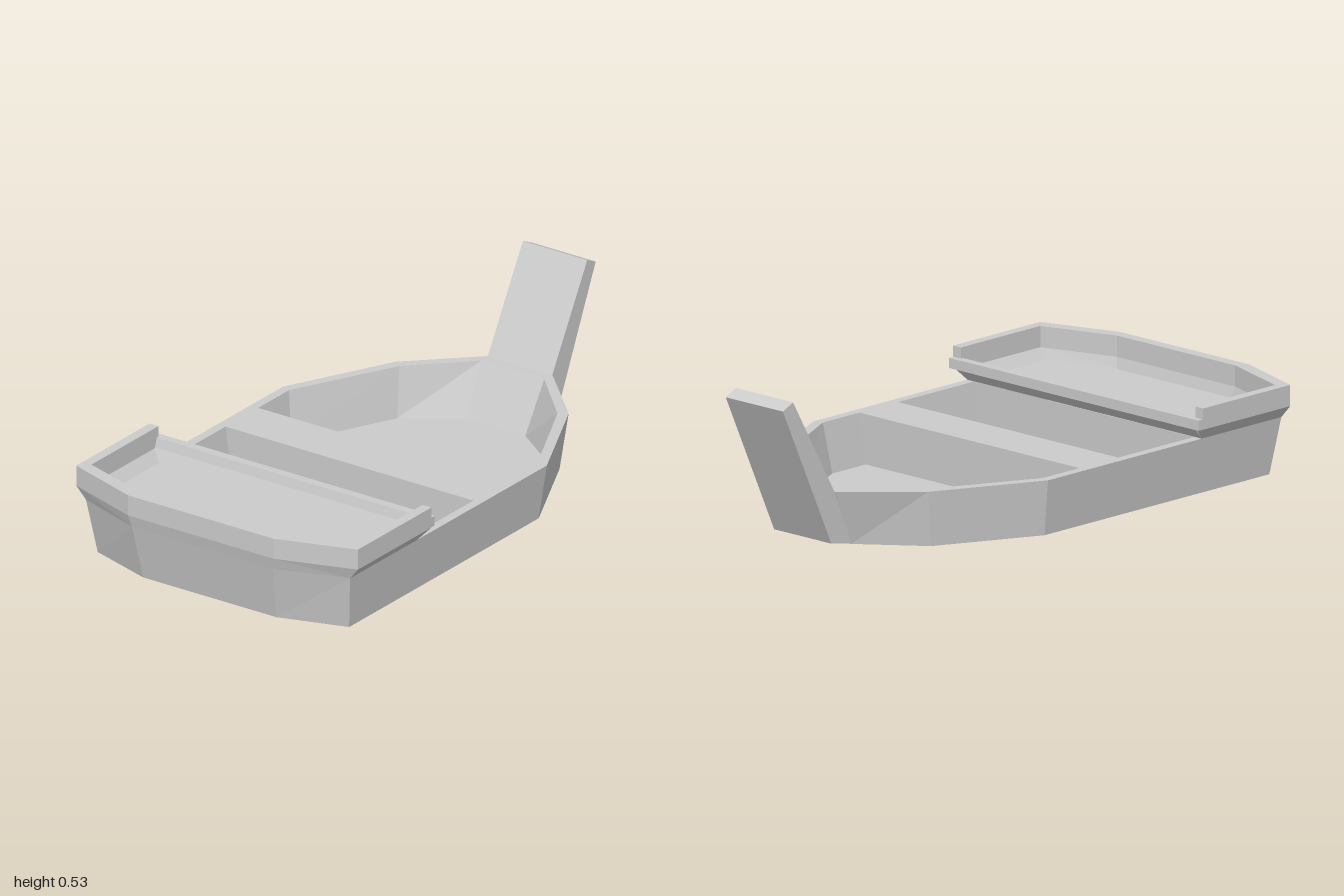
import * as THREE from 'three';

const material = new THREE.MeshStandardMaterial({ color: 0xcccccc, flatShading: true, side: THREE.DoubleSide });

// Half outline [x, z] from stern to bow, mirrored into a full loop at height y
function loop(y, half) {
  const left = half.map(([x, z]) => [x, y, z]);
  const right = half.map(([x, z]) => [x, y, -z]).reverse();
  return [...left, ...right];
}

// Half outline listed front to stern, mirrored into a U that is open at the front
const rail = (y, pts) => loop(y, pts);

function meshFrom(name, triangles) {
  const g = new THREE.BufferGeometry();
  g.setAttribute('position', new THREE.Float32BufferAttribute(triangles.flat(), 3));
  g.computeVertexNormals();
  const m = new THREE.Mesh(g, material);
  m.name = name;
  return m;
}

// Skin between successive loops
function loft(name, rings, closed = true) {
  const tris = [];
  for (let r = 0; r < rings.length - 1; r++) {
    const a = rings[r], b = rings[r + 1], n = a.length;
    for (let i = 0; i < (closed ? n : n - 1); i++) {
      const j = (i + 1) % n;
      tris.push(a[i], a[j], b[j], a[i], b[j], b[i]);
    }
  }
  return meshFrom(name, tris);
}

// Flat panel filling a convex loop
function panel(name, ring) {
  const tris = [];
  for (let i = 1; i < ring.length - 1; i++) tris.push(ring[0], ring[i], ring[i + 1]);
  return meshFrom(name, tris);
}

// Side profile [x, y] extruded across the beam
function across(name, profile, halfWidth) {
  const shape = new THREE.Shape(profile.map(([x, y]) => new THREE.Vector2(x, y)));
  const g = new THREE.ExtrudeGeometry(shape, { depth: halfWidth * 2, bevelEnabled: false });
  g.translate(0, 0, -halfWidth);
  const m = new THREE.Mesh(g, material);
  m.name = name;
  return m;
}

export function createModel() {
  const boat = new THREE.Group();
  boat.name = 'boat';
  const rimY = 0.19, floorY = 0.02;

  // Outer hull, open underneath
  boat.add(loft('hull', [
    loop(0, [[-0.95, 0.265], [-0.875, 0.5], [0.17, 0.5], [0.52, 0.33], [0.68, 0.125]]),
    loop(rimY, [[-0.99, 0.28], [-0.905, 0.525], [0.18, 0.525], [0.55, 0.345], [0.76, 0.13]]),
  ]));

  // Flat rim, inner walls and bulkhead
  const floorHalf = [[-0.53, 0.47], [0.15, 0.47], [0.5, 0.3], [0.63, 0.115]];
  boat.add(loft('rimAndInnerWall', [
    loop(rimY, [[-0.53, 0.525], [0.18, 0.525], [0.55, 0.345], [0.76, 0.13]]),
    loop(rimY, [[-0.53, 0.493], [0.17, 0.493], [0.53, 0.315], [0.72, 0.125]]),
    loop(floorY, floorHalf),
  ]));
  boat.add(panel('floor', loop(floorY, floorHalf)));

  // Cross bench, flush with the rim
  boat.add(across('bench', [[-0.18, floorY + 0.002], [0, floorY + 0.002], [0, rimY], [-0.18, rimY]], 0.493));

  // Bow post
  boat.add(across('bowPost', [[0.68, 0.003], [0.775, 0.02], [1, 0.505], [0.953, 0.527], [0.76, 0.19]], 0.128));

  // Stern tray: flared outer wall, flat top and inner wall sloping to its floor
  const deck = new THREE.Group();
  deck.name = 'sternDeck';
  const outer = [[-0.505, 0.56], [-0.91, 0.56], [-1, 0.29]];
  const inner = [[-0.505, 0.525], [-0.875, 0.525], [-0.96, 0.265]];
  const base = [[-0.535, 0.525], [-0.905, 0.525], [-0.99, 0.28]];
  const bed = [[-0.54, 0.495], [-0.87, 0.495], [-0.95, 0.255]];
  const rails = [rail(0.19, base), rail(0.232, outer), rail(0.303, outer),
    rail(0.303, inner), rail(0.232, inner), rail(0.195, bed)];
  deck.add(loft('deckWall', rails, false));
  deck.add(panel('deckFloor', rails[5]));
  deck.add(panel('deckUnderside', rails[0]));

  // Front ends of the side walls
  for (const i of [0, rails[0].length - 1]) {
    const [a, b, c, d, e, f] = rails.map((r) => r[i]);
    deck.add(panel('wallEnd', [b, c, d, e]), panel('wallEndFoot', [a, b, e, f]));
  }

  // Sloping front of the tray and the low lip above it
  deck.add(across('deckFront', [[-0.535, 0.19], [-0.5, 0.232], [-0.525, 0.235], [-0.545, 0.195]], 0.525));
  deck.add(across('deckLip', [[-0.525, 0.232], [-0.485, 0.232], [-0.485, 0.266], [-0.515, 0.266]], 0.559));
  boat.add(deck);

  return boat;
}
